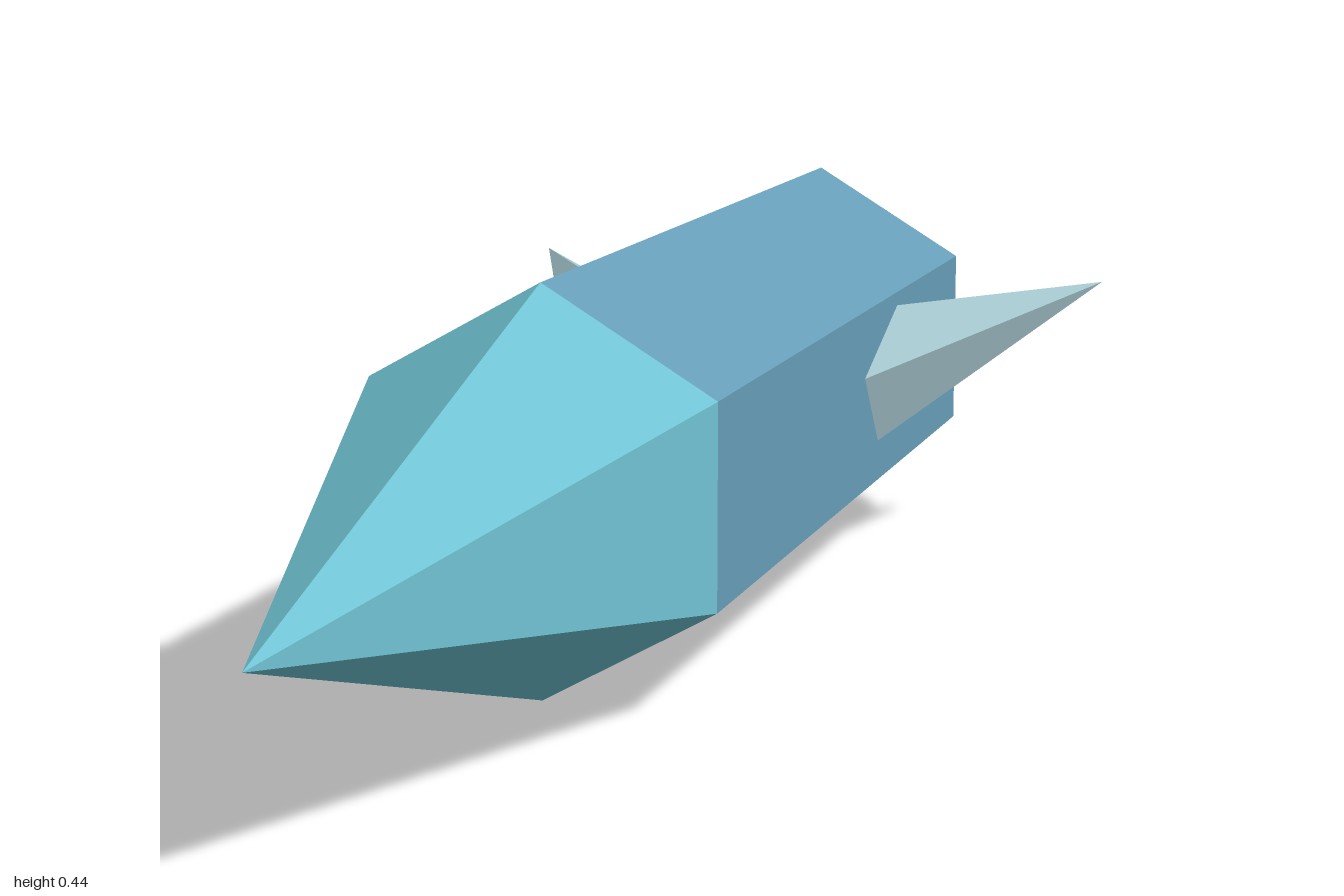
import * as THREE from 'three';

const material = (name, color) => new THREE.MeshStandardMaterial({ name, color, flatShading: true });

export function createModel() {
  const model = new THREE.Group();
  model.name = 'crystalDart';
  const blue = material('steel blue', 0x669cb6);
  const aqua = material('aqua', 0x70c4d4);
  const pale = material('pale grey blue', 0xa3c4cc);

  const AXIS_Y = 0.22, SHOULDER_Z = 0.28, REAR_Z = -0.68;
  const add = (name, geometry, mat) => {
    const mesh = new THREE.Mesh(geometry, mat);
    mesh.name = name;
    model.add(mesh);
    return mesh;
  };

  // Six-sided hull, tapering slightly to the rear
  add('hull', new THREE.CylinderGeometry(0.22, 0.2, SHOULDER_Z - REAR_Z, 6).rotateX(Math.PI / 2), blue)
    .position.set(0, AXIS_Y, (SHOULDER_Z + REAR_Z) / 2);

  // Long pointed nose and short pointed tail
  add('nose', new THREE.ConeGeometry(0.22, 1 - SHOULDER_Z, 6).rotateX(Math.PI / 2), aqua)
    .position.set(0, AXIS_Y, (1 + SHOULDER_Z) / 2);
  add('tail', new THREE.ConeGeometry(0.2, 1 + REAR_Z, 6).rotateX(-Math.PI / 2), pale)
    .position.set(0, AXIS_Y, (REAR_Z - 1) / 2);

  // Swept five-sided spikes; each root is carried a little way inside the hull
  const tip = new THREE.Vector3(0.357, 0.3, -0.675);
  const root = [[0.246, -0.27], [0.307, -0.41], [0.28, -0.5], [0.205, -0.47], [0.163, -0.33]]
    .map(([y, z]) => new THREE.Vector3(0.18, y, z).sub(tip).multiplyScalar(1.15).add(tip));
  for (const side of [1, -1]) {
    const points = [];
    const mirrored = (p) => [p.x * side, p.y, p.z];
    root.forEach((a, i) => {
      const b = root[(i + 1) % root.length];
      const corners = side > 0 ? [tip, b, a] : [tip, a, b];
      corners.forEach((p) => points.push(...mirrored(p)));
    });
    const geometry = new THREE.BufferGeometry();
    geometry.setAttribute('position', new THREE.Float32BufferAttribute(points, 3));
    geometry.computeVertexNormals();
    add(side > 0 ? 'leftFin' : 'rightFin', geometry, pale);
  }
  return model;
}
